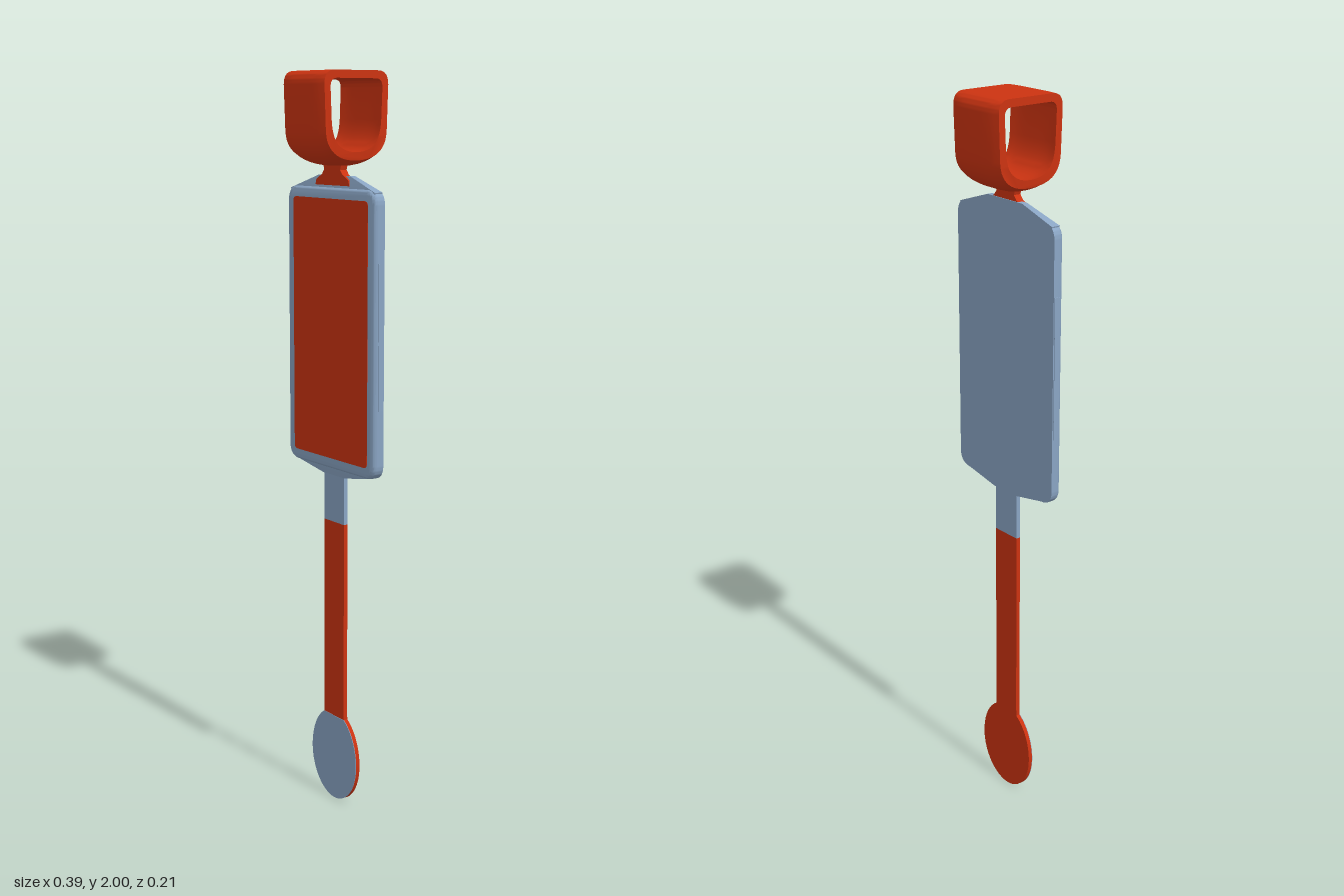
import * as THREE from 'three';
import { toCreasedNormals } from 'three/addons/utils/BufferGeometryUtils.js';

const red = new THREE.MeshStandardMaterial({ color: 0xcc3311 });
const blue = new THREE.MeshStandardMaterial({ color: 0x8aa5c4 });

// Move every vertex by a rule, then rebuild smooth normals with kept creases
function reshape(geometry, rule) {
  const p = geometry.attributes.position;
  const v = new THREE.Vector3();
  for (let i = 0; i < p.count; i++) {
    rule(v.fromBufferAttribute(p, i));
    p.setXYZ(i, v.x, v.y, v.z);
  }
  return toCreasedNormals(geometry, 0.6);
}

function slab(shape, z0, z1, options = {}) {
  const g = new THREE.ExtrudeGeometry(shape, { depth: z1 - z0, bevelEnabled: false, curveSegments: 12, ...options });
  return g.translate(0, 0, z0);
}

// Mirrors half-outline points (x >= 0, from bottom to top) into a closed shape
function mirrored(half) {
  const pts = half.map(([x, y]) => new THREE.Vector2(x, y));
  const left = half.filter(([x]) => x > 0).reverse().map(([x, y]) => new THREE.Vector2(-x, y));
  return new THREE.Shape([...pts, ...left]);
}

function roundedRect(w, y0, y1, r) {
  const s = new THREE.Shape();
  s.moveTo(-w + r, y0).lineTo(w - r, y0).quadraticCurveTo(w, y0, w, y0 + r);
  s.lineTo(w, y1 - r).quadraticCurveTo(w, y1, w - r, y1);
  s.lineTo(-w + r, y1).quadraticCurveTo(-w, y1, -w, y1 - r);
  s.lineTo(-w, y0 + r).quadraticCurveTo(-w, y0, -w + r, y0);
  return s;
}

// Half section of the loop, from bottom centre to top centre
function loopSection(w, y0, y1, r) {
  const path = new THREE.Path();
  path.moveTo(0, y0);
  path.bezierCurveTo(w * 0.62, y0, w * 0.92, y0 + 0.035, w * 0.96, y0 + 0.09);
  path.lineTo(w, y1 - r);
  path.quadraticCurveTo(w, y1, w - r, y1);
  path.lineTo(0, y1);
  return mirrored(path.getPoints(12).map((p) => [p.x, p.y]));
}

export function createModel() {
  const model = new THREE.Group();
  const add = (name, geometry, material) => {
    const mesh = new THREE.Mesh(geometry, material);
    mesh.name = name;
    model.add(mesh);
    return mesh;
  };

  // Barrel-shaped carrying loop, open to both sides
  const section = loopSection(0.107, 1.76, 2, 0.035);
  section.holes.push(new THREE.Path(loopSection(0.087, 1.787, 1.98, 0.022).getPoints()));
  const loop = slab(section, -0.09, 0.09, { steps: 12 }).rotateY(Math.PI / 2);
  add('loop', reshape(loop, (v) => {
    const edge = (v.x / 0.09) ** 4;
    v.z *= 1 - 0.06 * edge;
    if (v.y < 1.83) v.y += 0.015 * edge * (1.83 - v.y) / 0.07;
    if (v.y < 1.79) v.x *= 1 - 0.08 * (1.79 - v.y) / 0.03;
  }), red);

  // Flared neck joining the loop to the case
  const neck = mirrored([[0, 1.71], [0.075, 1.71], [0.07, 1.725], [0.045, 1.738], [0.035, 1.75], [0.04, 1.766], [0, 1.77]]);
  add('neck', toCreasedNormals(slab(neck, -0.009, 0.012), 0.6), red);

  // Case: rounded on the front, flat on the back
  const outline = roundedRect(0.183, 0.967, 1.693, 0.028);
  const caseBody = slab(outline, -0.011, 0.008, { bevelEnabled: true, bevelSize: 0.012, bevelThickness: 0.012, bevelSegments: 5 });
  add('case', reshape(caseBody, (v) => { v.z = Math.max(v.z, -0.011); }), blue);

  // Tapered shoulders above and below the case, thinning away from it
  const topShoulder = mirrored([[0, 1.68], [0.18, 1.68], [0.185, 1.698], [0.07, 1.735], [0, 1.735]]);
  add('topShoulder', reshape(slab(topShoulder, -0.011, 0.016), (v) => {
    if (v.z > 0) v.z = 0.016 - 0.011 * Math.max(0, v.y - 1.69) / 0.045;
  }), blue);
  const bottomShoulder = mirrored([[0, 0.934], [0.045, 0.934], [0.165, 0.957], [0.165, 0.98], [0, 0.98]]);
  add('bottomShoulder', reshape(slab(bottomShoulder, -0.011, 0.013), (v) => {
    if (v.z > 0) v.z = 0.013 - 0.007 * Math.max(0, 0.965 - v.y) / 0.03;
  }), blue);

  // Front panel within the rim
  add('frontPanel', slab(roundedRect(0.165, 0.985, 1.676, 0.014), 0.01, 0.0206), red);

  // Slim rails along both sides
  for (const side of [-1, 1]) {
    const rail = add('sideRail', new THREE.BoxGeometry(0.006, 0.38, 0.016), blue);
    rail.position.set(side * 0.194, 1.33, 0);
  }

  // Two-coloured strap
  const upper = add('strapUpper', new THREE.BoxGeometry(0.09, 0.15, 0.012), blue);
  upper.position.y = 0.88;
  const lower = add('strapLower', new THREE.BoxGeometry(0.09, 0.575, 0.012), red);
  lower.position.y = 0.5175;

  // Egg-shaped paddle: backing with a fillet into the strap, and a front face
  const half = [];
  for (let i = 0; i <= 28; i++) {
    const a = -Math.PI / 2 + (i / 28) * (Math.PI / 2 + 1.11);
    half.push([i ? 0.103 * Math.cos(a) : 0, 0.125 + (a < 0 ? 0.125 : 0.134) * Math.sin(a)]);
  }
  const back = mirrored([...half, [0.0452, 0.275], [0, 0.275]]);
  add('paddleBack', toCreasedNormals(slab(back, -0.006, 0.0055), 0.6), red);
  add('paddleFace', slab(mirrored([...half, [0, 0.245]]), 0.0055, 0.007), blue);

  return model;
}
